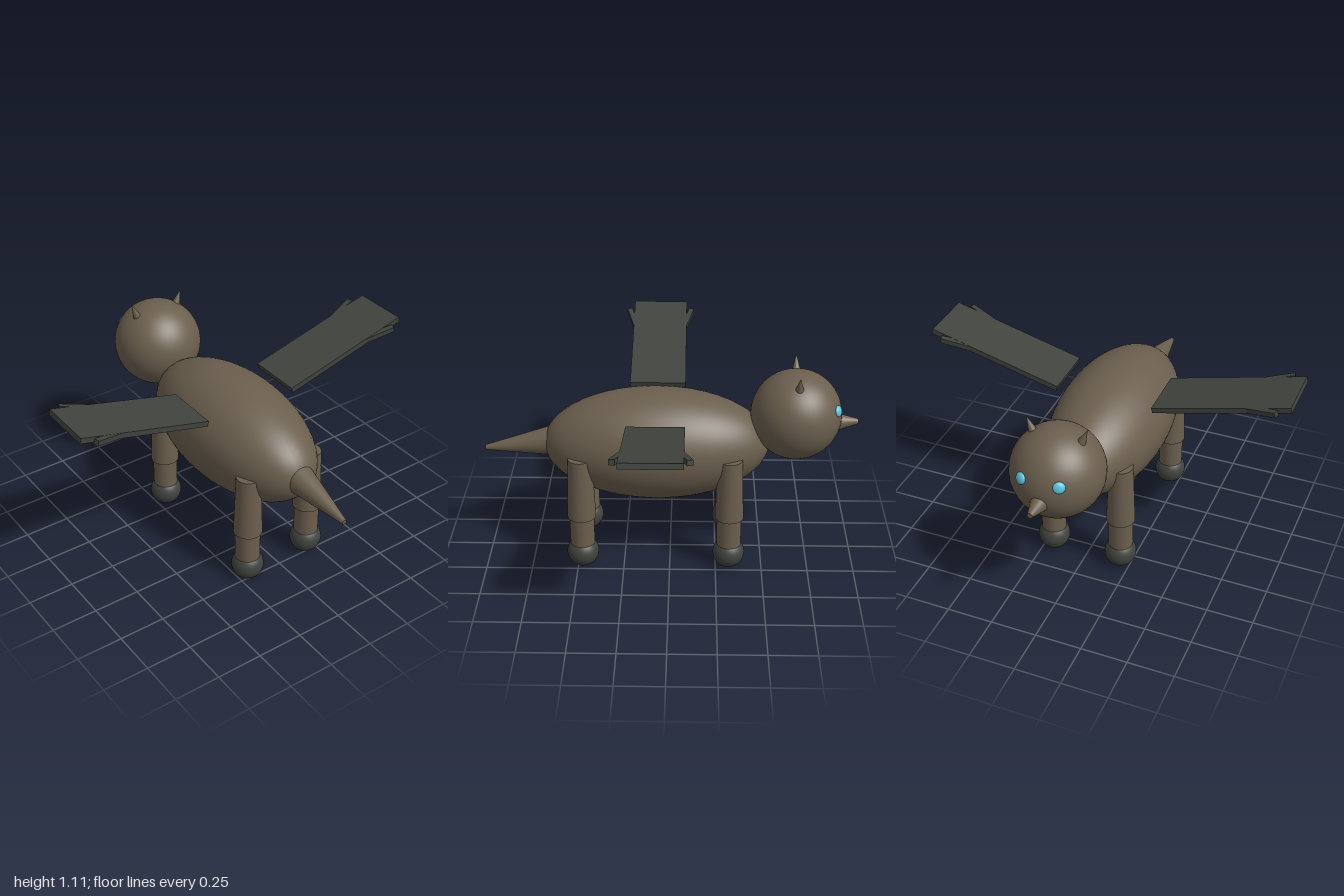
import * as THREE from 'three';

const mat = (name, color) => Object.assign(new THREE.MeshStandardMaterial({ color }), { name });

export function createModel() {
  const root = new THREE.Group();
  root.name = 'wingedBeast';
  const hide = mat('brown hide', 0x6b5f4e);
  const dark = mat('dark grey', 0x40433e);
  const blue = mat('eye blue', 0x5bc4dc);

  const add = (parent, name, geometry, material, x = 0, y = 0, z = 0) => {
    const mesh = new THREE.Mesh(geometry, material);
    mesh.name = name;
    mesh.position.set(x, y, z);
    parent.add(mesh);
    return mesh;
  };

  // Tapered round part running from point a (radius ra) to point b (radius rb)
  const taper = (name, a, b, ra, rb) => {
    const from = new THREE.Vector3(...a), to = new THREE.Vector3(...b);
    const dir = to.clone().sub(from);
    const mid = from.add(to).multiplyScalar(0.5);
    const mesh = add(root, name, new THREE.CylinderGeometry(rb, ra, dir.length(), 32), hide, mid.x, mid.y, mid.z);
    mesh.quaternion.setFromUnitVectors(new THREE.Vector3(0, 1, 0), dir.normalize());
    return mesh;
  };

  // Body and head
  add(root, 'body', new THREE.SphereGeometry(1, 48, 32), hide, 0, 0.66, 0.075).scale.set(0.303, 0.303, 0.605);
  const headCentre = new THREE.Vector3(0, 0.836, -0.668);
  add(root, 'head', new THREE.SphereGeometry(0.242, 48, 32), hide, ...headCentre);

  // Beak and tail
  taper('beak', [0, 0.79, -0.88], [0, 0.794, -1], 0.05, 0.014);
  taper('tail', [0, 0.667, 0.62], [0, 0.618, 0.998], 0.083, 0.014);

  for (const side of [1, -1]) {
    const label = side > 0 ? 'left' : 'right';

    // Ears
    taper(label + 'Ear', [side * 0.122, 1.02, -0.668], [side * 0.159, 1.11, -0.668], 0.027, 0.001);

    // Eyes, flattened against the head
    const out = new THREE.Vector3(side * 0.1, 0.066, -0.21).normalize();
    const spot = out.clone().multiplyScalar(0.242).add(headCentre);
    const eye = add(root, label + 'Eye', new THREE.SphereGeometry(0.031, 24, 16), blue, ...spot);
    eye.scale.z = 0.5;
    eye.quaternion.setFromUnitVectors(new THREE.Vector3(0, 0, 1), out);

    // Legs
    for (const [place, z] of [['Front', -0.32], ['Back', 0.473]]) {
      const leg = new THREE.Group();
      leg.name = label + place + 'Leg';
      leg.position.set(side * 0.195, 0, z);
      root.add(leg);
      add(leg, 'upperLeg', new THREE.CylinderGeometry(0.064, 0.077, 0.35, 32), hide, 0, 0.485, 0);
      add(leg, 'lowerLeg', new THREE.CylinderGeometry(0.066, 0.066, 0.23, 32), hide, 0, 0.215, 0);
      add(leg, 'foot', new THREE.SphereGeometry(0.086, 32, 24), dark, 0, 0.09, 0);
    }

    // Wing slab with two feathers splayed from its inner end
    const wing = new THREE.Group();
    wing.name = label + 'Wing';
    wing.position.set(side * 0.632, 0.966, 0.073);
    wing.rotation.z = side * THREE.MathUtils.degToRad(14.6);
    root.add(wing);
    add(wing, 'wingSlab', new THREE.BoxGeometry(0.752, 0.03, 0.305), dark);
    for (const splay of [1, -1]) {
      const angle = THREE.MathUtils.degToRad(15) * splay;
      const feather = add(wing, 'feather', new THREE.BoxGeometry(0.7, 0.028, 0.03), dark,
        side * (-0.37 + 0.35 * Math.cos(angle)), 0, 0.35 * Math.sin(angle));
      feather.rotation.y = -side * angle;
    }
  }
  return root;
}
